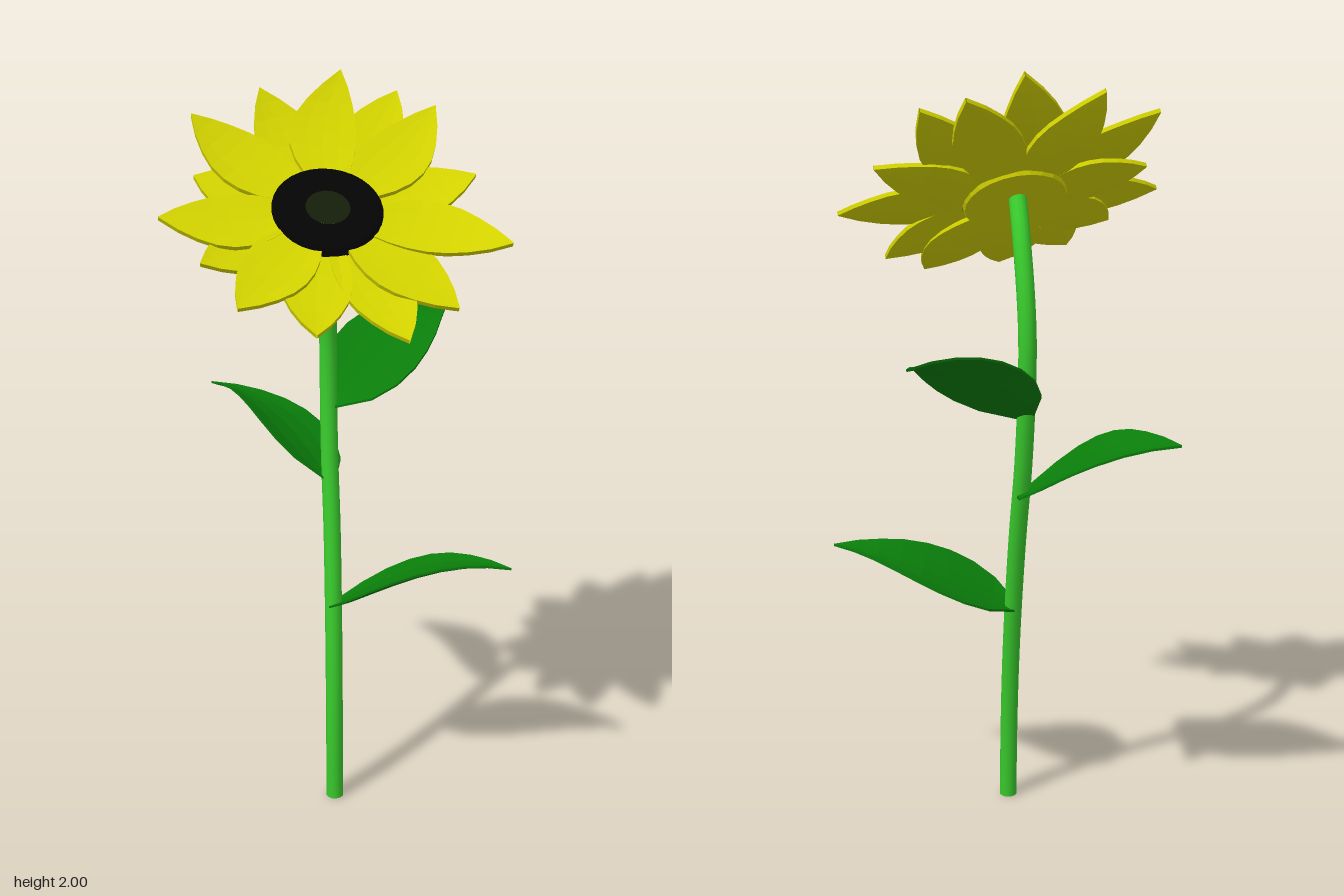
import * as THREE from 'three';

const V = (x, y, z) => new THREE.Vector3(x, y, z);
const paint = (color, opts = {}) => new THREE.MeshStandardMaterial({ color, ...opts });

// Thin pointed blade lofted from base to tip. "up" is the facing of its upper side.
// bow bends it sideways, bank tips it towards one edge, cup lifts both edges.
function blade(base, tip, up, { widths, rise, cup, thick, bow = 0, bank = 0 }) {
  const span = tip.clone().sub(base);
  const height = span.dot(up);
  const along = span.clone().addScaledVector(up, -height);
  const side = up.clone().cross(along).normalize();
  const top = [1, 0.5, 0, -0.5, -1].map((s) => [s, 0]);
  const loop = [...top, ...top.map(([s]) => [-s, -thick])];
  const rows = widths.length, n = loop.length;
  const pos = [], idx = [];
  for (let i = 0; i < rows; i++) {
    const t = i / (rows - 1);
    const spine = base.clone().addScaledVector(along, t)
      .addScaledVector(up, height * rise(t))
      .addScaledVector(side, bow * Math.sin(Math.PI * t));
    for (const [s, drop] of loop) {
      const p = spine.clone().addScaledVector(side, s * widths[i])
        .addScaledVector(up, drop + (cup * s * s + bank * s) * widths[i]);
      pos.push(p.x, p.y, p.z);
    }
  }
  for (let i = 0; i < rows - 1; i++) {
    for (let j = 0; j < n; j++) {
      const a = i * n + j, b = i * n + (j + 1) % n;
      idx.push(a, b, b + n, a, b + n, a + n);
    }
  }
  const geo = new THREE.BufferGeometry();
  geo.setAttribute('position', new THREE.Float32BufferAttribute(pos, 3));
  geo.setIndex(idx);
  geo.computeVertexNormals();
  return geo;
}

export function createModel() {
  const root = new THREE.Group();
  root.name = 'flower';
  const add = (name, geo, mat, parent = root) => {
    const mesh = new THREE.Mesh(geo, mat);
    mesh.name = name;
    parent.add(mesh);
    return mesh;
  };

  const petalMat = paint(0xd2d200, { flatShading: true, side: THREE.DoubleSide });
  const leafMat = paint(0x0a7d0a, { flatShading: true, side: THREE.DoubleSide });
  const stemMat = paint(0x38c82c);

  // Stem: a bent tube with a closed foot
  const stemPath = new THREE.CatmullRomCurve3([
    V(-0.008, 0, 0.045), V(-0.008, 0.2, 0.038), V(-0.006, 0.4, 0.018), V(-0.003, 0.6, -0.015),
    V(0, 0.8, -0.057), V(0, 1, -0.1), V(0.002, 1.2, -0.13), V(0.002, 1.33, -0.135),
    V(0, 1.45, -0.115), V(-0.01, 1.585, -0.055), V(-0.03, 1.68, 0.03),
  ]);
  add('stem', new THREE.TubeGeometry(stemPath, 40, 0.024, 12), stemMat);
  const foot = add('stemFoot', new THREE.CircleGeometry(0.024, 12), stemMat);
  foot.position.set(-0.008, 0.0005, 0.045);
  foot.rotation.x = Math.PI / 2;

  // Leaves: base on the stem, tip, sideways bow, bank
  const leaves = [
    [V(0, 1.13, -0.12), V(0.405, 1.335, -0.43), -0.02, 0.3],
    [V(0, 0.92, -0.09), V(-0.29, 1.105, -0.445), -0.037, 0.3],
    [V(-0.01, 0.575, -0.01), V(0.445, 0.745, 0.19), 0.035, -0.15],
  ];
  for (const [base, tip, bow, bank] of leaves) {
    add('leaf', blade(base, tip, V(0, 1, 0), {
      widths: [0.025, 0.095, 0.123, 0.127, 0.115, 0.092, 0.062, 0.032, 0.001],
      rise: (t) => Math.sin(t * Math.PI / 2) ** 1.15,
      cup: 0.2, thick: 0.006, bow, bank,
    }), leafMat);
  }

  // Head: tilted forward
  const tilt = 0.62;
  const centre = V(-0.03, 1.7, 0.068);
  const normal = V(0, Math.cos(tilt), Math.sin(tilt));
  const head = new THREE.Group();
  head.name = 'head';
  head.position.copy(centre);
  head.rotation.x = tilt;
  root.add(head);

  const seeds = new THREE.LatheGeometry([
    [0.14, -0.025], [0.14, 0], [0.125, 0.008], [0.09, 0.01], [0.055, 0.007],
  ].map(([r, y]) => new THREE.Vector2(r, y)), 32);
  add('seedDisc', seeds, paint(0x040404, { side: THREE.DoubleSide }), head);
  const eye = add('discCentre', new THREE.CircleGeometry(0.056, 24), paint(0x141e0a), head);
  eye.rotation.x = -Math.PI / 2;
  eye.position.y = 0.008;
  const back = add('headBack', new THREE.CylinderGeometry(0.14, 0.135, 0.012, 24), petalMat, head);
  back.position.y = -0.034;

  // Petals: tip x, y, z, sideways bow, layer (1 upper, 0 lower)
  const petals = [
    [0.055, 2.0, -0.255, 0.03, 1], [0.21, 1.94, -0.28, 0, 0],
    [0.29, 1.915, -0.165, -0.02, 1], [0.355, 1.77, 0.03, 0.01, 0],
    [0.4, 1.64, 0.245, 0.025, 1], [0.245, 1.51, 0.345, 0, 1],
    [0.105, 1.465, 0.445, 0.015, 0], [-0.11, 1.48, 0.42, -0.01, 0],
    [-0.285, 1.53, 0.34, 0, 1], [-0.36, 1.61, 0.21, 0, 0],
    [-0.45, 1.7, 0.09, 0.02, 1], [-0.35, 1.77, -0.065, 0.01, 0],
    [-0.345, 1.91, -0.155, 0.01, 1], [-0.16, 1.96, -0.24, -0.01, 0],
  ];
  for (const [x, y, z, bow, upper] of petals) {
    const tip = V(x, y, z);
    const out = tip.clone().sub(centre).projectOnPlane(normal).normalize();
    const base = centre.clone().addScaledVector(out, 0.07)
      .addScaledVector(normal, upper ? -0.004 : -0.02);
    add(upper ? 'upperPetal' : 'lowerPetal', blade(base, tip, normal, {
      widths: [0.035, 0.054, 0.073, 0.084, 0.086, 0.078, 0.06, 0.035, 0.001],
      rise: (t) => t ** 2.6,
      cup: 0.06, thick: 0.012, bow,
    }), petalMat);
  }
  return root;
}
